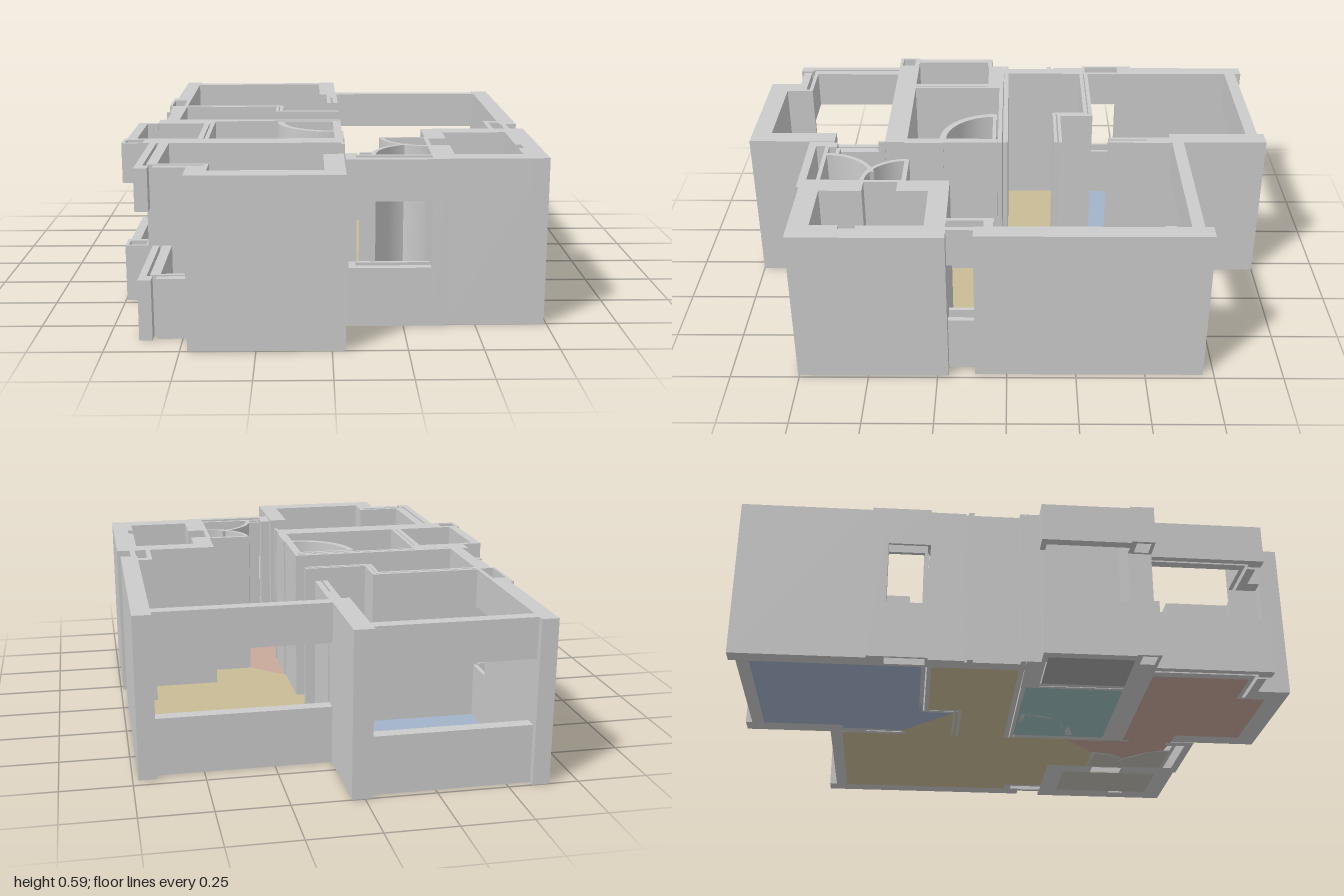
import * as THREE from 'three';

const H = 0.59, SILL = 0.21, HEAD = 0.445;

export function createModel() {
  const model = new THREE.Group();
  model.name = 'apartment';
  const grey = new THREE.MeshStandardMaterial({ color: 0xcccccc, flatShading: true });

  const add = (name, geo, mat = grey) => {
    const m = new THREE.Mesh(geo, mat);
    m.name = name;
    model.add(m);
    return m;
  };
  const block = (name, x0, x1, z0, z1, y0 = 0, y1 = H) =>
    add(name, new THREE.BoxGeometry(x1 - x0, y1 - y0, z1 - z0))
      .position.set((x0 + x1) / 2, (y0 + y1) / 2, (z0 + z1) / 2);
  // sill below and lintel above an opening
  const windowWall = (name, ...r) => {
    block(name + 'Sill', ...r, 0, SILL);
    block(name + 'Lintel', ...r, HEAD, H);
  };
  // plan shape (x, -z) raised along y
  const raise = (shape, h) => new THREE.ExtrudeGeometry(shape, { depth: h, bevelEnabled: false, curveSegments: 14 })
    .rotateX(-Math.PI / 2);
  const floor = (name, color, pts, h = 0.006) => add(name,
    raise(new THREE.Shape(pts.map(([x, z]) => new THREE.Vector2(x, -z))), h),
    new THREE.MeshStandardMaterial({ color }));
  const rect = (x0, x1, z0, z1) => [[x0, z0], [x1, z0], [x1, z1], [x0, z1]];
  const curvedWall = (name, x, z, r0, r1, a0, a1) => {
    const s = new THREE.Shape();
    s.absarc(x, -z, r1, a0, a1, false);
    s.absarc(x, -z, r0, a1, a0, true);
    s.closePath();
    add(name, raise(s, H));
  };

  // floors
  floor('bedroomFloor', 0xa2b3c9, [[-0.585, -0.93], [-0.025, -0.93], [-0.025, -0.63], [0.01, -0.63],
    [0.01, -0.4], [-0.18, -0.21], [-0.18, -0.33], [-0.585, -0.33]]);
  floor('livingFloor', 0xc9bc96, [[0.05, -0.635], [0.665, -0.635], [0.665, 0.05], [0.61, 0.05], [0.61, 0.21],
    [0.35, 0.21], [0.35, 0.375], [0.19, 0.375], [0.05, 0.25], [0.05, 0], [-0.585, 0], [-0.585, -0.31],
    [-0.2, -0.31], [-0.2, -0.19], [-0.18, -0.21], [0.01, -0.4], [0.05, -0.4]]);
  floor('bathroomFloor', 0x99bcba, rect(-0.44, 0.02, 0.035, 0.39));
  floor('frontRoomFloor', 0xc9a99b, [[-0.575, 0.475], [0.05, 0.475], [0.05, 0.25], [0.19, 0.375], [0.2, 0.46],
    [0.25, 0.52], [0.17, 0.59], [0.14, 0.66], [0.05, 0.67], [-0.025, 0.67], [-0.025, 0.925],
    [-0.405, 0.925], [-0.405, 0.82], [-0.575, 0.82]]);
  floor('balconyFloor', 0xa6a6a6, rect(-0.7, -0.48, 0.09, 0.39));
  floor('sideRoomFloor', 0xc0bcb2, rect(0.425, 0.66, 0.285, 0.68));
  floor('washroomFloor', 0xc0bcb2, [[0.19, 0.38], [0.35, 0.38], [0.35, 0.69], [0.15, 0.69], [0.17, 0.6],
    [0.25, 0.52], [0.2, 0.46]]);
  const swing = [[0.02, 0.05]];
  for (let i = 0; i <= 10; i++) {
    const a = Math.PI / 2 * (1 + i / 10);
    swing.push([0.02 + 0.2 * Math.cos(a), 0.05 + 0.2 * Math.sin(a)]);
  }
  floor('doorSwingFloor', 0xc0bcb2, swing, 0.008);

  // full-height walls: x0, x1, z0, z1
  const walls = {
    bedroomLeftWall: [[-0.645, -0.585, -1, -0.53], [-0.66, -0.585, -0.53, -0.47]],
    bedroomRightWall: [[-0.025, 0.045, -1, -0.63]],
    bedroomDoorJamb: [[0.005, 0.022, -0.63, -0.39], [0.03, 0.05, -0.63, -0.39], [0.022, 0.03, -0.63, -0.54]],
    closetWall: [[-0.6, -0.18, -0.34, -0.325], [-0.6, -0.195, -0.32, -0.305], [-0.195, -0.18, -0.325, -0.21],
      [-0.21, -0.198, -0.305, -0.18], [-0.195, 0.05, -0.21, -0.198], [-0.198, 0.05, -0.192, -0.18]],
    hallLeftWall: [[-0.645, -0.585, -0.32, -0.195], [-0.655, -0.585, -0.185, -0.165], [-0.635, -0.585, -0.195, 0.02]],
    hallFrontWall: [[-0.66, 0.05, 0, 0.018], [-0.66, 0.05, 0.022, 0.038]],
    balconyBackWall: [[-0.66, -0.44, 0.02, 0.085]],
    balconyBathroomWall: [[-0.48, -0.46, 0.085, 0.39], [-0.455, -0.44, 0.085, 0.39]],
    frontRoomBackWall: [[-0.66, 0.05, 0.39, 0.475]],
    bathroomRightWall: [[0.02, 0.055, 0.25, 0.4], [0.02, 0.05, 0.04, 0.25]],
    bathroomDoor: [[-0.19, 0.02, 0.045, 0.06]],
    doorStub: [[0.04, 0.055, 0.475, 0.5], [0.055, 0.09, 0.655, 0.69], [0.1, 0.15, 0.64, 0.655]],
    frontRoomFrontWall: [[-0.475, 0.045, 0.925, 1]],
    frontRoomRightWall: [[-0.025, 0.045, 0.67, 0.925]],
    frontRoomLeftPier: [[-0.42, -0.405, 0.82, 0.925]],
    livingRightWall: [[0.665, 0.73, -0.71, 0.115]],
    livingCornerWall: [[0.61, 0.665, 0.045, 0.08]],
    sideRoomBackWall: [[0.35, 0.74, 0.21, 0.285]],
    sideRoomRightWall: [[0.68, 0.74, 0.225, 0.755], [0.66, 0.68, 0.285, 0.52], [0.66, 0.68, 0.58, 0.69]],
    sideRoomFrontWall: [[0.4, 0.74, 0.68, 0.755]],
    sideRoomLeftWall: [[0.35, 0.425, 0.285, 0.4], [0.36, 0.425, 0.525, 0.69]],
    washroomRightWall: [[0.345, 0.36, 0.375, 0.69]],
    washroomBackWall: [[0.19, 0.35, 0.37, 0.387]],
    washroomFrontPier: [[0.345, 0.4, 0.69, 0.765], [0.05, 0.06, 0.67, 0.765]],
  };
  for (const [name, list] of Object.entries(walls)) list.forEach(r => block(name, ...r));

  // door swings built as curved walls
  const P = Math.PI;
  curvedWall('bathroomCurvedWall', 0.02, 0.05, 0.19, 0.215, P, 1.5 * P);
  curvedWall('washroomCurvedWall', 0.35, 0.375, 0.15, 0.166, P, 1.5 * P);
  curvedWall('washroomCurvedWall', 0.345, 0.69, 0.19, 0.206, P - 1.25, P);

  // window walls, many as two thin leaves with a gap
  const windows = {
    bedroomWindow: [[-0.585, -0.025, -0.975, -0.93]],
    livingWindow: [[0.045, 0.665, -0.68, -0.635]],
    bedroomSideWindow: [[-0.66, -0.65, -0.47, -0.32], [-0.6, -0.585, -0.47, -0.32], [-0.65, -0.6, -0.33, -0.32]],
    livingSideWindow: [[0.61, 0.627, 0.08, 0.225], [0.67, 0.69, 0.115, 0.225], [0.627, 0.67, 0.21, 0.225]],
    washroomWindow: [[0.06, 0.345, 0.685, 0.7], [0.06, 0.345, 0.735, 0.765], [0.06, 0.085, 0.7, 0.735]],
    balconyWindow: [[-0.735, -0.7, 0.07, 0.4], [-0.7, -0.66, 0.07, 0.09], [-0.745, -0.66, 0.39, 0.41],
      [-0.745, -0.733, 0.41, 0.475], [-0.733, -0.66, 0.462, 0.475], [-0.67, -0.66, 0.41, 0.462]],
    baySideWindow: [[-0.645, -0.62, 0.475, 0.895], [-0.61, -0.575, 0.475, 0.835], [-0.62, -0.6, 0.845, 0.895]],
    bayFrontWindow: [[-0.575, -0.42, 0.82, 0.835], [-0.585, -0.42, 0.848, 0.88], [-0.475, -0.405, 0.88, 0.925]],
  };
  for (const [name, list] of Object.entries(windows)) list.forEach(r => windowWall(name, ...r));

  return model;
}
